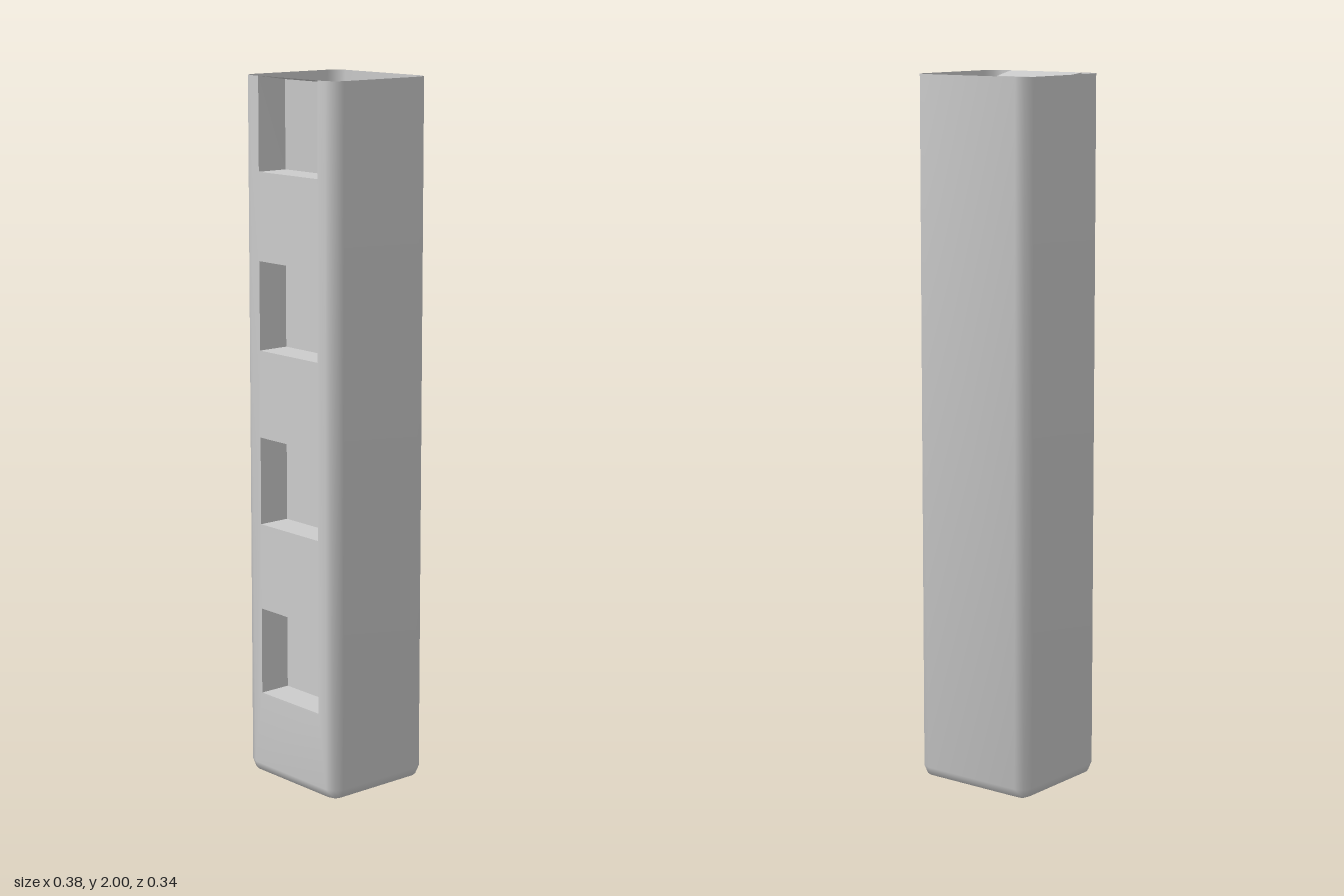
import * as THREE from 'three';
import { mergeGeometries, toCreasedNormals } from 'three/addons/utils/BufferGeometryUtils.js';

const HX = 0.19, HZ = 0.171, R = 0.035, TOP = 2;   // half sizes, edge radius, height
const W = 0.123, H = 0.25, BACK_Z = 0.076;          // recess half width, height, back plane
const material = new THREE.MeshStandardMaterial({ color: 0xcccccc, side: THREE.DoubleSide });

// Geometry from quads of four [x, y, z] corners, counter-clockwise from the outside
function quadGeometry(quads) {
  const positions = quads.flatMap(([a, b, c, d]) => [...a, ...b, ...c, ...a, ...c, ...d]);
  const geometry = new THREE.BufferGeometry();
  geometry.setAttribute('position', new THREE.Float32BufferAttribute(positions, 3));
  return geometry;
}

// Rounded rectangle at height y, with two facets per corner
function ring(y, radius) {
  const points = [];
  [[1, 1], [-1, 1], [-1, -1], [1, -1]].forEach(([sx, sz], corner) => {
    for (let i = 0; i < 3; i++) {
      const a = (corner + i / 2) * Math.PI / 2;
      points.push([sx * (HX - R) + radius * Math.cos(a), y, sz * (HZ - R) + radius * Math.sin(a)]);
    }
  });
  return points;
}

// Open-topped shell with bevelled bottom; the front wall is cut out for the recesses
function shellGeometry() {
  const c = Math.SQRT1_2;
  const rings = [ring(TOP, R), ring(R, R), ring(R * (1 - c), R * c), ring(0, 0)];
  const quads = [];
  for (let k = 0; k < 3; k++) {
    for (let j = 0; j < 12; j++) {
      if (k === 0 && j === 2) continue;
      const n = (j + 1) % 12, upper = rings[k], lower = rings[k + 1];
      quads.push([lower[j], upper[j], upper[n], lower[n]]);
    }
  }
  quads.push([0, 3, 6, 9].map((j) => rings[3][j]));

  // Front wall: notch at the top edge and three square openings
  const x = HX - R, notch = TOP - 0.26;
  const wall = new THREE.Shape([
    [-x, R], [x, R], [x, TOP], [W, TOP], [W, notch], [-W, notch], [-W, TOP], [-x, TOP],
  ].map(([px, py]) => new THREE.Vector2(px, py)));
  for (let i = 0; i < 3; i++) {
    const y = 0.25 + i * 0.497;
    wall.holes.push(new THREE.Path([
      [-W, y], [-W, y + H], [W, y + H], [W, y],
    ].map(([px, py]) => new THREE.Vector2(px, py))));
  }
  const front = new THREE.ShapeGeometry(wall).toNonIndexed().translate(0, 0, HZ);
  front.deleteAttribute('uv');
  front.deleteAttribute('normal');
  return toCreasedNormals(mergeGeometries([quadGeometry(quads), front]), THREE.MathUtils.degToRad(50));
}

// Pocket behind an opening; the top pocket leans in at its upper back edge
function recessGeometry(y0, y1, backTop) {
  const front = [[-W, y0, HZ], [W, y0, HZ], [W, y1, HZ], [-W, y1, HZ]];
  const { x, y, z } = backTop;
  const back = [[-W, y0, BACK_Z], [W, y0, BACK_Z], [x, y, z], [-x, y, z]];
  const quads = [back];
  for (let i = 0; i < 4; i++) {
    const n = (i + 1) % 4;
    quads.push([front[i], front[n], back[n], back[i]]);
  }
  const geometry = quadGeometry(quads);
  geometry.computeVertexNormals();
  return geometry;
}

export function createModel() {
  const group = new THREE.Group();
  group.name = 'recessedColumn';
  const add = (name, geometry) => {
    const mesh = new THREE.Mesh(geometry, material);
    mesh.name = name;
    group.add(mesh);
  };
  add('shell', shellGeometry());
  for (let i = 0; i < 3; i++) {
    const y = 0.25 + i * 0.497;
    add(`recess${i + 1}`, recessGeometry(y, y + H, { x: W, y: y + H, z: BACK_Z }));
  }
  add('topRecess', recessGeometry(TOP - 0.26, TOP, { x: 0.108, y: 1.988, z: 0.089 }));
  return group;
}
